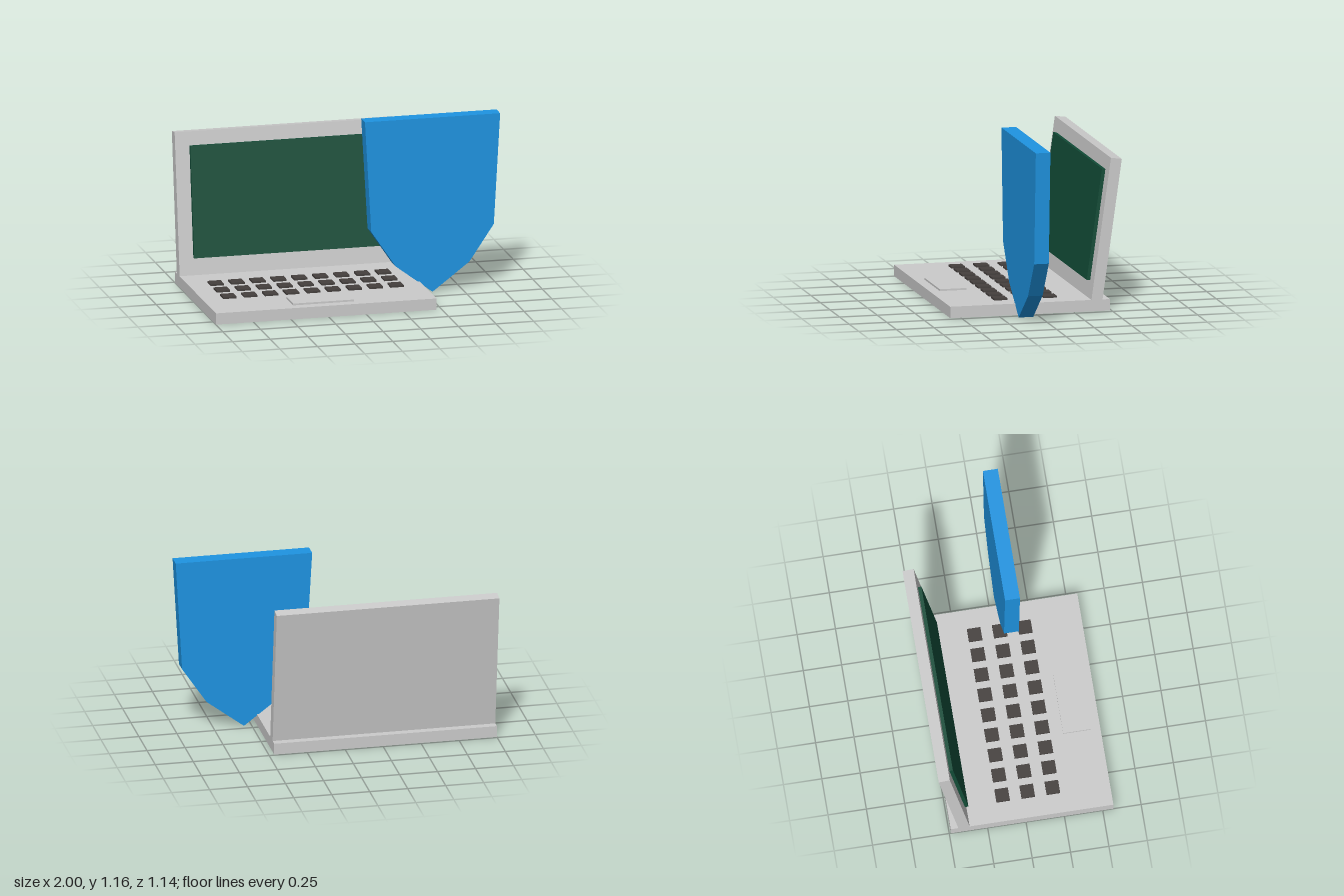
import * as THREE from 'three';

const material = (color) => new THREE.MeshStandardMaterial({ color });

// Box given by its minimum and maximum corners
function box(name, mat, [x0, y0, z0], [x1, y1, z1]) {
  const mesh = new THREE.Mesh(new THREE.BoxGeometry(x1 - x0, y1 - y0, z1 - z0), mat);
  mesh.position.set((x0 + x1) / 2, (y0 + y1) / 2, (z0 + z1) / 2);
  mesh.name = name;
  return mesh;
}

export function createModel() {
  const model = new THREE.Group();
  model.name = 'laptopWithShield';
  const grey = material(0xcccccc);
  const dark = material(0x45403e);
  const green = material(0x124d38);
  const blue = material(0x1e94e2);

  // Base and touchpad
  model.add(box('base', grey, [-1, 0, -0.49], [0.465, 0.075, 0.57]));
  model.add(box('touchpad', grey, [-0.47, 0.07, 0.328], [-0.065, 0.087, 0.505]));

  // Keyboard: three rows of nine keys
  const keyboard = new THREE.Group();
  keyboard.name = 'keyboard';
  for (let row = 0; row < 3; row++) {
    for (let col = 0; col < 9; col++) {
      const x = -0.823 + col * 0.139;
      const z = -0.127 + row * 0.1635;
      keyboard.add(box('key', dark, [x - 0.044, 0.07, z - 0.044], [x + 0.044, 0.087, z + 0.044]));
    }
  }
  model.add(keyboard);

  // Lid leaning back from its hinge line, with the display on its front
  const lid = new THREE.Group();
  lid.name = 'lid';
  lid.position.set(0, 0.075, -0.367);
  lid.rotation.x = -0.139;
  lid.add(box('lidPanel', grey, [-1, -0.02, -0.073], [0.465, 0.934, 0]));
  lid.add(box('display', green, [-0.905, 0.112, -0.005], [0.37, 0.843, 0.023]));
  model.add(lid);

  // Shield: half outline mirrored about its centre line, then extruded
  const half = [[0, 0], [0.245, 0.185], [0.407, 0.425], [0.449, 1.16]];
  const outline = [...half, ...half.slice(1).reverse().map(([x, y]) => [-x, y])];
  const shape = new THREE.Shape(outline.map(([x, y]) => new THREE.Vector2(x, y)));
  const shield = new THREE.Mesh(
    new THREE.ExtrudeGeometry(shape, { depth: 0.097, bevelEnabled: false }), blue);
  shield.name = 'shield';
  shield.position.set(0.55, 0, 0.041);
  model.add(shield);

  return model;
}
